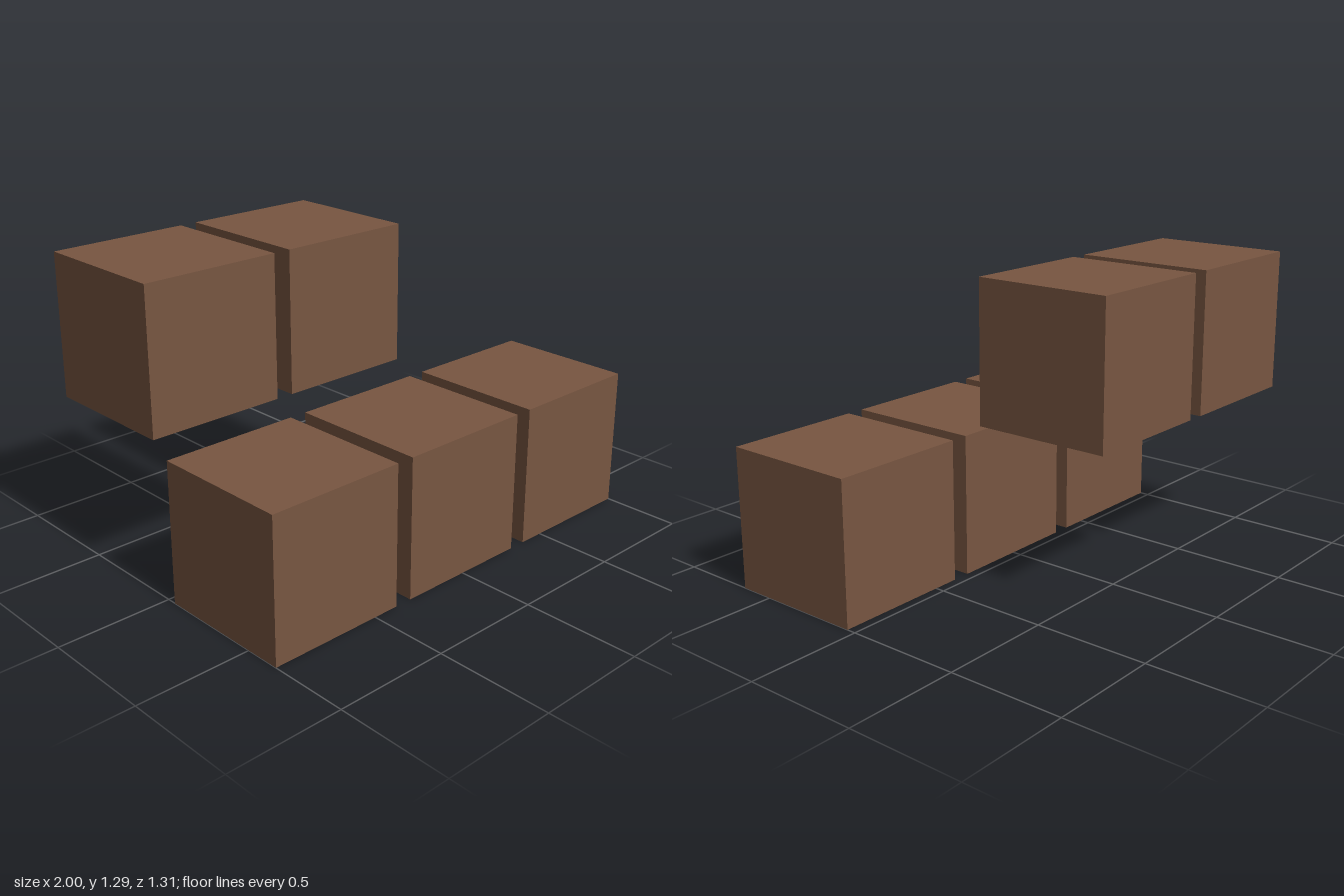
import * as THREE from 'three';

export function createModel() {
  const model = new THREE.Group();
  model.name = 'crateStack';

  const size = 0.615;
  const spacing = 0.6925;
  const geometry = new THREE.BoxGeometry(size, size, size);
  const material = new THREE.MeshStandardMaterial({ color: 0x785641 });

  // A row of separate cubes, starting at the model's right end
  function addRow(name, count, y, z) {
    const row = new THREE.Group();
    row.name = name;
    for (let i = 0; i < count; i++) {
      const crate = new THREE.Mesh(geometry, material);
      crate.name = `${name}Crate${i + 1}`;
      crate.position.set((i - 1) * spacing, y, z);
      row.add(crate);
    }
    model.add(row);
  }

  // Three crates on the ground in front, two raised behind them
  addRow('lowerFront', 3, size / 2, 0.348);
  addRow('upperBack', 2, 0.98, -0.348);

  return model;
}
